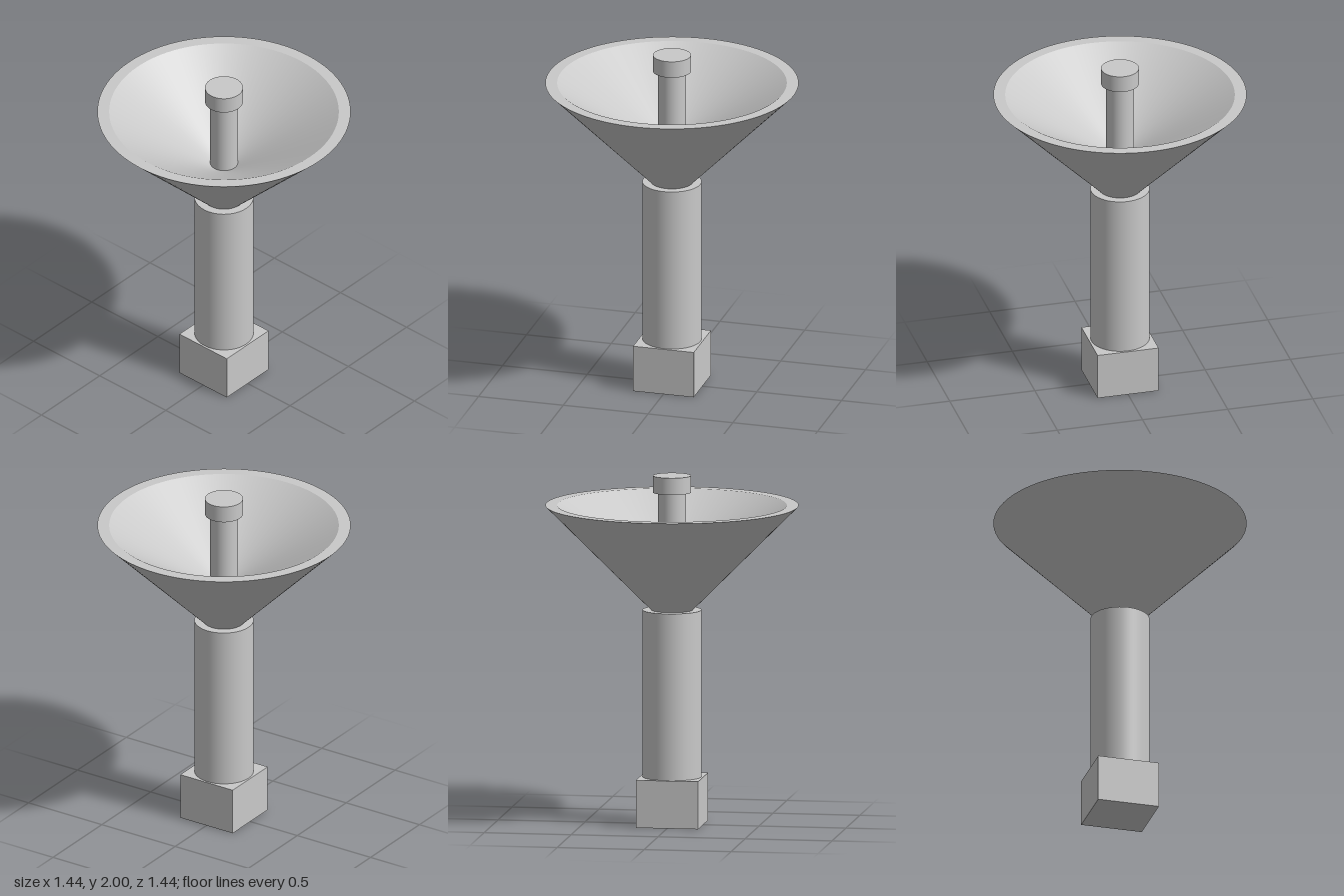
import * as THREE from 'three';

const grey = new THREE.MeshStandardMaterial({ color: 0xc9c9c9 });
grey.name = 'plain grey';

export function createModel() {
  const model = new THREE.Group();
  model.name = 'funnelOnPost';

  const add = (name, geometry, y = 0) => {
    const mesh = new THREE.Mesh(geometry, grey);
    mesh.name = name;
    mesh.position.y = y;
    model.add(mesh);
  };
  // Upright cylinder between two heights
  const rod = (name, radius, bottom, top) =>
    add(name, new THREE.CylinderGeometry(radius, radius, top - bottom, 64), (bottom + top) / 2);
  // Turned surface with a straight profile, given bottom to top on its outside
  const turned = (name, r0, y0, r1, y1) =>
    add(name, new THREE.LatheGeometry([new THREE.Vector2(r0, y0), new THREE.Vector2(r1, y1)], 96));

  // Square foot and column
  add('squareBase', new THREE.BoxGeometry(0.358, 0.273, 0.358), 0.1365);
  rod('column', 0.168, 0.273, 1.23);

  // Funnel: steep outer wall, flat rim, shallower dish inside
  turned('funnelOuterWall', 0.119, 1.23, 0.719, 1.83);
  turned('funnelRim', 0.719, 1.83, 0.652, 1.83);
  turned('funnelInnerDish', 0.652, 1.83, 0.079, 1.472);

  // Centre rod with its cap
  rod('centreRod', 0.079, 1.472, 1.903);
  rod('rodCap', 0.108, 1.903, 2);

  return model;
}
